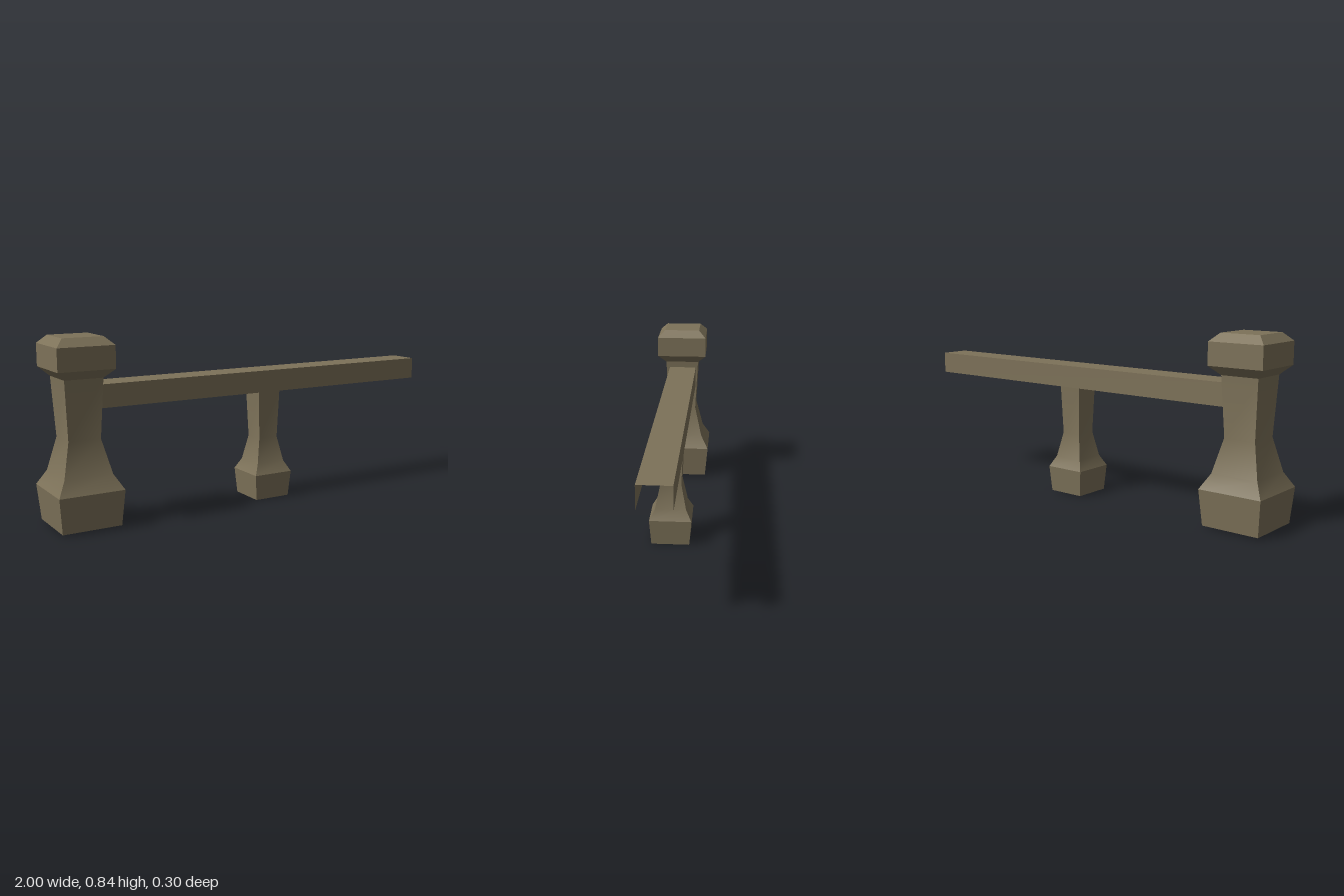
import * as THREE from 'three';

const stone = new THREE.MeshStandardMaterial({ color: 0x7d7259, side: THREE.DoubleSide });
stone.name = 'weathered stone';

// Square tube through [half width, height] rings: sharp corners, smooth along its height.
function squareTube(name, profile) {
  const positions = [], index = [];
  const rows = profile.length;
  for (let side = 0; side < 4; side++) {
    const angle = side * Math.PI / 2;
    const c = Math.round(Math.cos(angle)), s = Math.round(Math.sin(angle));
    for (const [r, y] of profile) {
      for (const x of [-r, r]) positions.push(x * c + r * s, y, -x * s + r * c);
    }
    for (let i = 0; i < rows - 1; i++) {
      const a = (side * rows + i) * 2;
      index.push(a, a + 1, a + 3, a, a + 3, a + 2);
    }
  }
  const geometry = new THREE.BufferGeometry();
  geometry.setAttribute('position', new THREE.Float32BufferAttribute(positions, 3));
  geometry.setIndex(index);
  geometry.computeVertexNormals();
  const mesh = new THREE.Mesh(geometry, stone);
  mesh.name = name;
  return mesh;
}

function panel(name, width, height, position, tilt) {
  const mesh = new THREE.Mesh(new THREE.PlaneGeometry(width, height), stone);
  mesh.name = name;
  mesh.position.set(...position);
  mesh.rotation.x = tilt;
  return mesh;
}

export function createModel() {
  const model = new THREE.Group();
  model.name = 'balustrade';

  // End post with a flared, hollow base and a bevelled cap
  const post = new THREE.Group();
  post.name = 'endPost';
  post.position.set(-0.85, 0, 0);
  post.add(
    squareTube('postBase', [[0.136, 0.01], [0.15, 0.172]]),
    squareTube('postShaft', [[0.15, 0.172], [0.111, 0.24], [0.074, 0.394], [0.088, 0.662]]),
    squareTube('capUnderside', [[0.088, 0.662], [0.13, 0.702]]),
    squareTube('capSides', [[0.13, 0.702], [0.13, 0.804]]),
    squareTube('capBevel', [[0.13, 0.804], [0.093, 0.84]]),
    panel('capTop', 0.186, 0.186, [0, 0.84, 0], -Math.PI / 2)
  );

  // Smaller baluster carrying the rail
  const baluster = new THREE.Group();
  baluster.name = 'baluster';
  baluster.position.set(0.104, 0, -0.004);
  baluster.add(
    squareTube('balusterBase', [[0.091, 0.002], [0.101, 0.125]]),
    squareTube('balusterShaft', [[0.101, 0.125], [0.074, 0.176], [0.05, 0.295], [0.059, 0.53]])
  );

  // Handrail: a channel open below and at its ends
  const rail = new THREE.Group();
  rail.name = 'handrail';
  const start = -0.775, end = 1, top = 0.63, bottom = 0.526, half = 0.072;
  const length = end - start, middleY = (top + bottom) / 2;
  rail.position.set((start + end) / 2, 0, -0.004);
  rail.add(
    panel('railTop', length, half * 2, [0, top, 0], -Math.PI / 2),
    panel('railFront', length, top - bottom, [0, middleY, half], 0),
    panel('railBack', length, top - bottom, [0, middleY, -half], Math.PI)
  );

  model.add(post, baluster, rail);
  return model;
}
